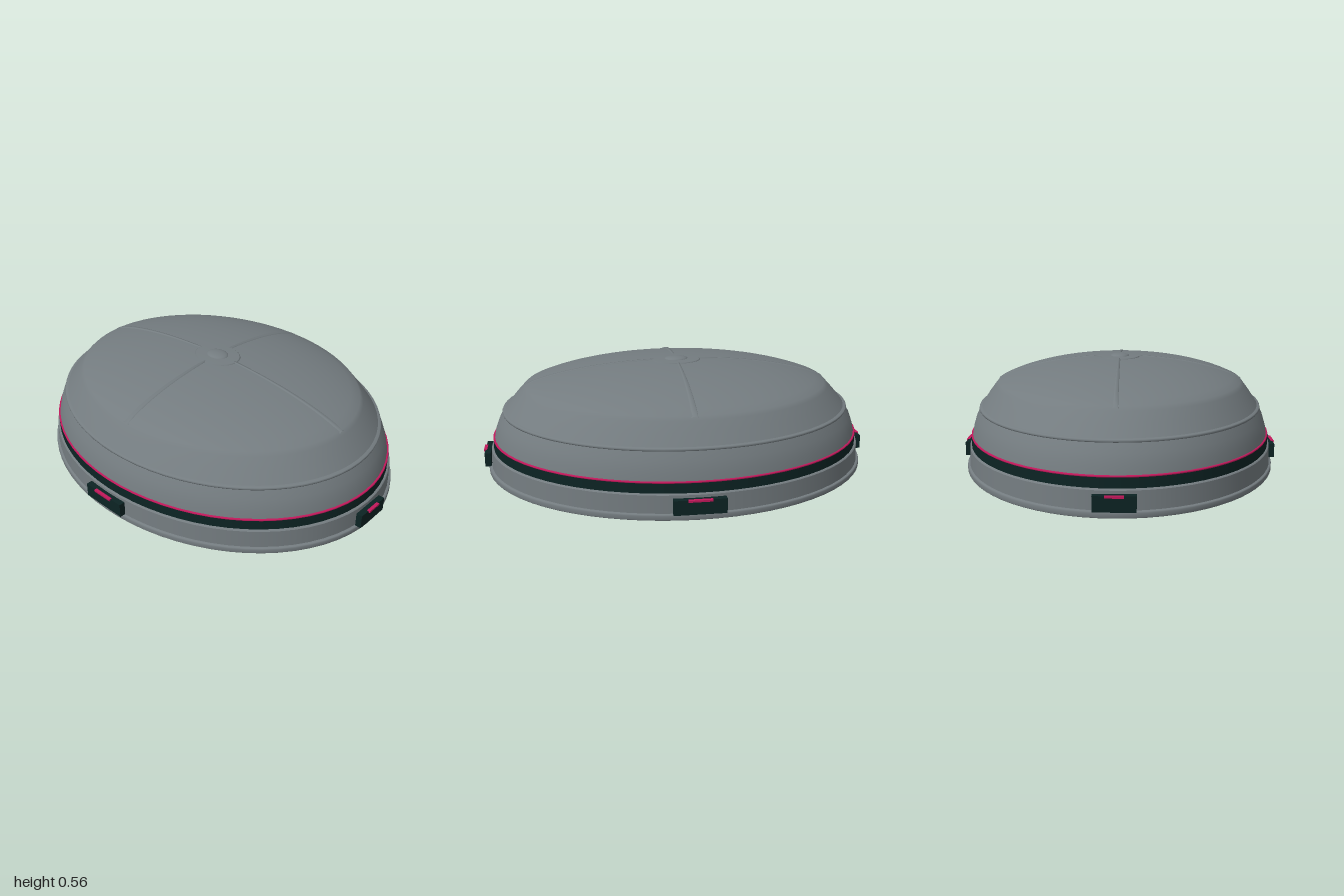
import * as THREE from 'three';

const SQUASH = 0.805; // depth / width of the oval plan
const SEGMENTS = 72;

const domeHeight = r => 0.3 + 0.24 * Math.sqrt(1 - (r / 0.92) ** 2);

export function createModel() {
  const shell = new THREE.MeshStandardMaterial({ name: 'shell grey', color: 0x747c80 });
  const trim = new THREE.MeshStandardMaterial({ name: 'dark trim', color: 0x0c2323 });
  const accent = new THREE.MeshStandardMaterial({ name: 'magenta accent', color: 0xc2185b });

  const model = new THREE.Group();
  model.name = 'ovalDome';
  const body = new THREE.Group();
  body.name = 'ovalBody';
  body.scale.z = SQUASH;
  model.add(body);

  const add = (parent, name, geometry, material) => {
    const mesh = new THREE.Mesh(geometry, material);
    mesh.name = name;
    parent.add(mesh);
    return mesh;
  };
  // Each profile runs upwards so its faces point outwards
  const lathe = (name, profile, material) => add(body, name,
    new THREE.LatheGeometry(profile.map(([r, y]) => new THREE.Vector2(r, y)), SEGMENTS), material);

  // Base plate and stepped lower wall
  lathe('underside', [[0, 0], [0.972, 0]], shell);
  lathe('baseFlange', [[0.972, 0], [0.976, 0.004], [0.976, 0.022], [0.972, 0.028], [0.955, 0.03]], shell);
  lathe('lowerWall', [[0.962, 0.03], [0.958, 0.115]], shell);
  lathe('lowerWallLedge', [[0.958, 0.115], [0.952, 0.121], [0.93, 0.121]], shell);

  // Dark band with the accent line on its upper edge
  lathe('darkBand', [[0.947, 0.12], [0.945, 0.168]], trim);
  lathe('darkBandTop', [[0.945, 0.168], [0.93, 0.168]], trim);
  lathe('accentLine', [[0.945, 0.167], [0.947, 0.169], [0.947, 0.173], [0.944, 0.175], [0.932, 0.175]], accent);

  // Upper wall, leaning in to the rim bead
  lathe('upperWall', [[0.94, 0.165], [0.93, 0.21], [0.911, 0.26], [0.885, 0.305]], shell);
  lathe('rimBead', [[0.88, 0.298], [0.891, 0.301], [0.893, 0.307], [0.89, 0.313], [0.872, 0.316]], shell);

  // Shoulder and dome
  const dome = [[0.88, 0.31], [0.83, 0.37], [0.79, 0.413]];
  for (let i = 0; i <= 16; i++) {
    const r = 0.772 * (1 - i / 16);
    dome.push([r, domeHeight(r)]);
  }
  lathe('dome', dome, shell);

  // Central disc and button
  lathe('hubDisc', [[0.126, 0.531], [0.126, 0.538], [0.12, 0.542], [0, 0.543]], shell);
  const button = [];
  for (let i = 0; i <= 6; i++) {
    const a = (i / 6) * Math.PI / 2;
    button.push([0.06 * Math.cos(a), 0.541 + 0.014 * Math.sin(a)]);
  }
  lathe('hubButton', button, shell);

  // Four shallow ribs that follow the dome and widen outwards
  for (let i = 0; i < 4; i++) {
    add(body, 'rib', ribGeometry(), shell).rotation.y = i * Math.PI / 2;
  }

  // Clips on the four sides, each with an accent strip
  const clips = [
    { angle: 0, reach: 0.797, width: 0.24, strip: 0.11 },
    { angle: Math.PI / 2, reach: 0.99, width: 0.185, strip: 0.08 },
    { angle: Math.PI, reach: 0.797, width: 0.24, strip: 0.11 },
    { angle: -Math.PI / 2, reach: 0.99, width: 0.185, strip: 0.08 },
  ];
  for (const { angle, reach, width, strip } of clips) {
    const clip = new THREE.Group();
    clip.name = 'clip';
    clip.rotation.y = angle;
    add(clip, 'clipBlock', new THREE.BoxGeometry(width, 0.07, 0.03), trim).position.set(0, 0.067, reach - 0.015);
    add(clip, 'clipStrip', new THREE.BoxGeometry(strip, 0.009, 0.016), accent).position.set(0, 0.099, reach);
    model.add(clip);
  }
  return model;
}

// Low ridge along +x: base edge, crest edges, base edge at every step
function ribGeometry() {
  const steps = 14, positions = [], index = [];
  for (let i = 0; i <= steps; i++) {
    const t = i / steps;
    const r = 0.115 + 0.665 * t;
    const w = 0.008 + 0.01 * t;
    const y = domeHeight(r);
    const rise = i === steps ? 0 : 0.005;
    positions.push(r, y - 0.004, -w, r, y + rise, -w * 0.6, r, y + rise, w * 0.6, r, y - 0.004, w);
    if (i === steps) break;
    for (let k = 0; k < 3; k++) {
      const a = i * 4 + k, b = a + 4;
      index.push(a, a + 1, b, a + 1, b + 1, b);
    }
  }
  const geometry = new THREE.BufferGeometry();
  geometry.setAttribute('position', new THREE.Float32BufferAttribute(positions, 3));
  geometry.setIndex(index);
  geometry.computeVertexNormals();
  return geometry;
}
